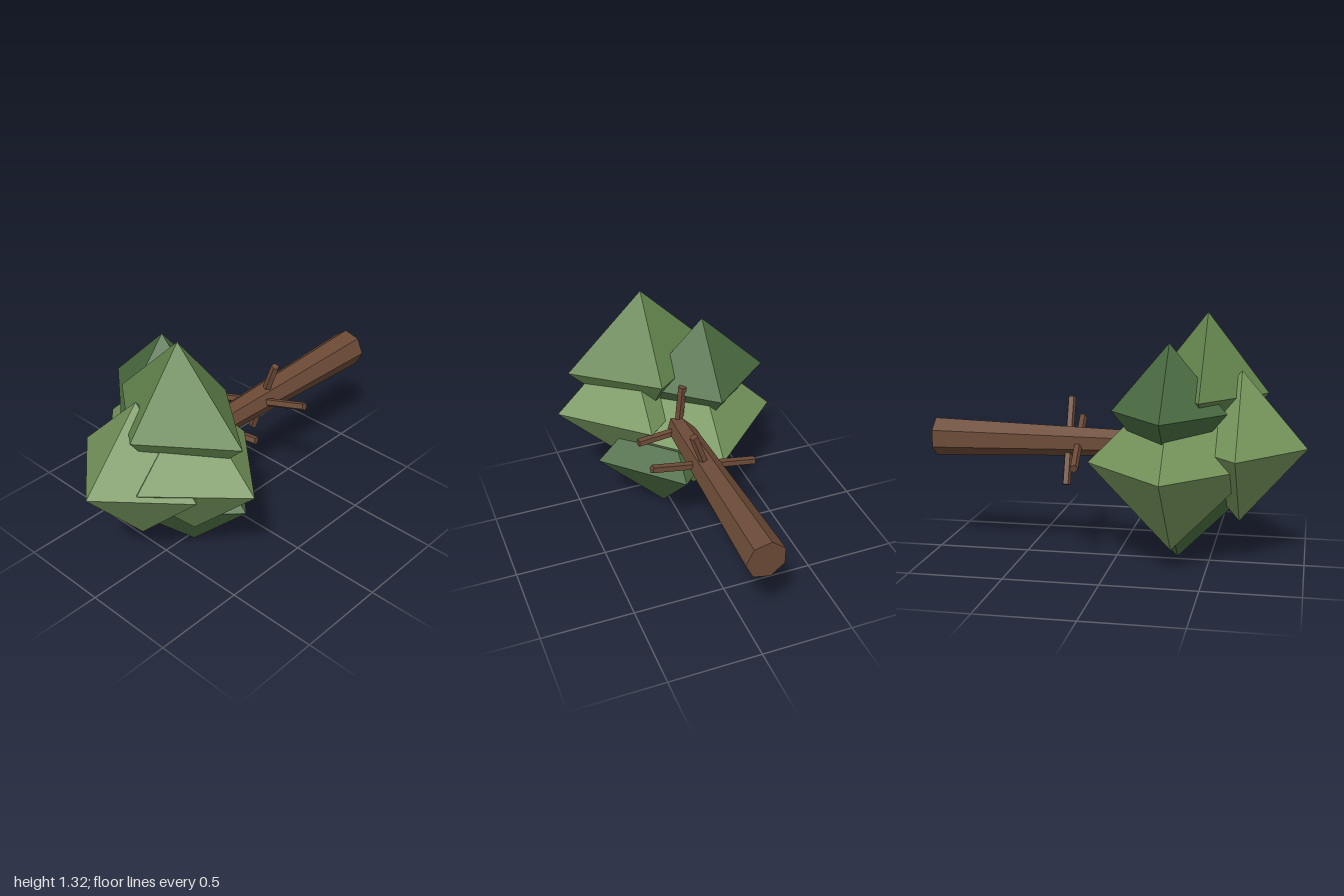
import * as THREE from 'three';

const V = (p) => new THREE.Vector3(...p);
const paint = (color) => new THREE.MeshStandardMaterial({ color, flatShading: true });

export function createModel() {
  const tree = new THREE.Group();
  tree.name = 'fallenTree';
  const bark = paint(0x6b4a36);
  const light = paint(0x76965c), mid = paint(0x62844d), dark = paint(0x4a6b40);

  // Tapered round timber from a to b
  function timber(name, a, b, rA, rB, sides) {
    const from = V(a), to = V(b), dir = to.clone().sub(from);
    const geo = new THREE.CylinderGeometry(rB, rA, dir.length(), sides);
    // first corner points along +x
    geo.rotateY(Math.PI / 2);
    const mesh = new THREE.Mesh(geo, bark);
    mesh.name = name;
    mesh.position.copy(from).add(to).multiplyScalar(0.5);
    mesh.quaternion.setFromUnitVectors(new THREE.Vector3(0, 1, 0), dir.normalize());
    tree.add(mesh);
  }

  // Trunk lying along z, its thin end inside the foliage
  timber('trunk', [0.005, 0.625, -1], [0.005, 0.625, 0.08], 0.106, 0.07, 7);
  timber('trunkTip', [0.005, 0.625, 0.08], [0.005, 0.625, 0.4], 0.07, 0.03, 7);

  // Two crossed pairs of bare branches
  [
    [[-0.3, 0.54, -0.17], [0.3, 0.7, -0.25]],
    [[-0.075, 0.4, -0.262], [0.08, 0.85, -0.262]],
    [[-0.25, 0.62, 0.16], [0.26, 0.63, 0.08]],
    [[0.03, 0.42, 0.15], [-0.02, 0.87, 0.16]],
  ].forEach(([a, b], i) => timber('branch' + (i + 1), a, b, 0.023, 0.023, 5));

  // Foliage clumps: stretched octahedra [name, centre, radii, material]
  [
    ['topFoliage', [0.1, 0.897, 0.465], [0.42, 0.418, 0.325], mid],
    ['upperRightFoliage', [-0.185, 0.825, 0.3], [0.357, 0.355, 0.297], dark],
    ['frontFoliage', [0, 0.625, 0.655], [0.4, 0.4, 0.345], light],
    ['lowerRightFoliage', [-0.147, 0.542, 0.31], [0.453, 0.453, 0.44], light],
    ['leftFoliage', [0.18, 0.655, 0.46], [0.415, 0.415, 0.375], light],
    ['bottomFoliage', [0.037, 0.383, 0.325], [0.38, 0.383, 0.38], dark],
  ].forEach(([name, centre, radii, material]) => {
    const geo = new THREE.OctahedronGeometry(1).scale(...radii);
    geo.computeVertexNormals();
    const mesh = new THREE.Mesh(geo, material);
    mesh.name = name;
    mesh.position.copy(V(centre));
    tree.add(mesh);
  });

  return tree;
}
